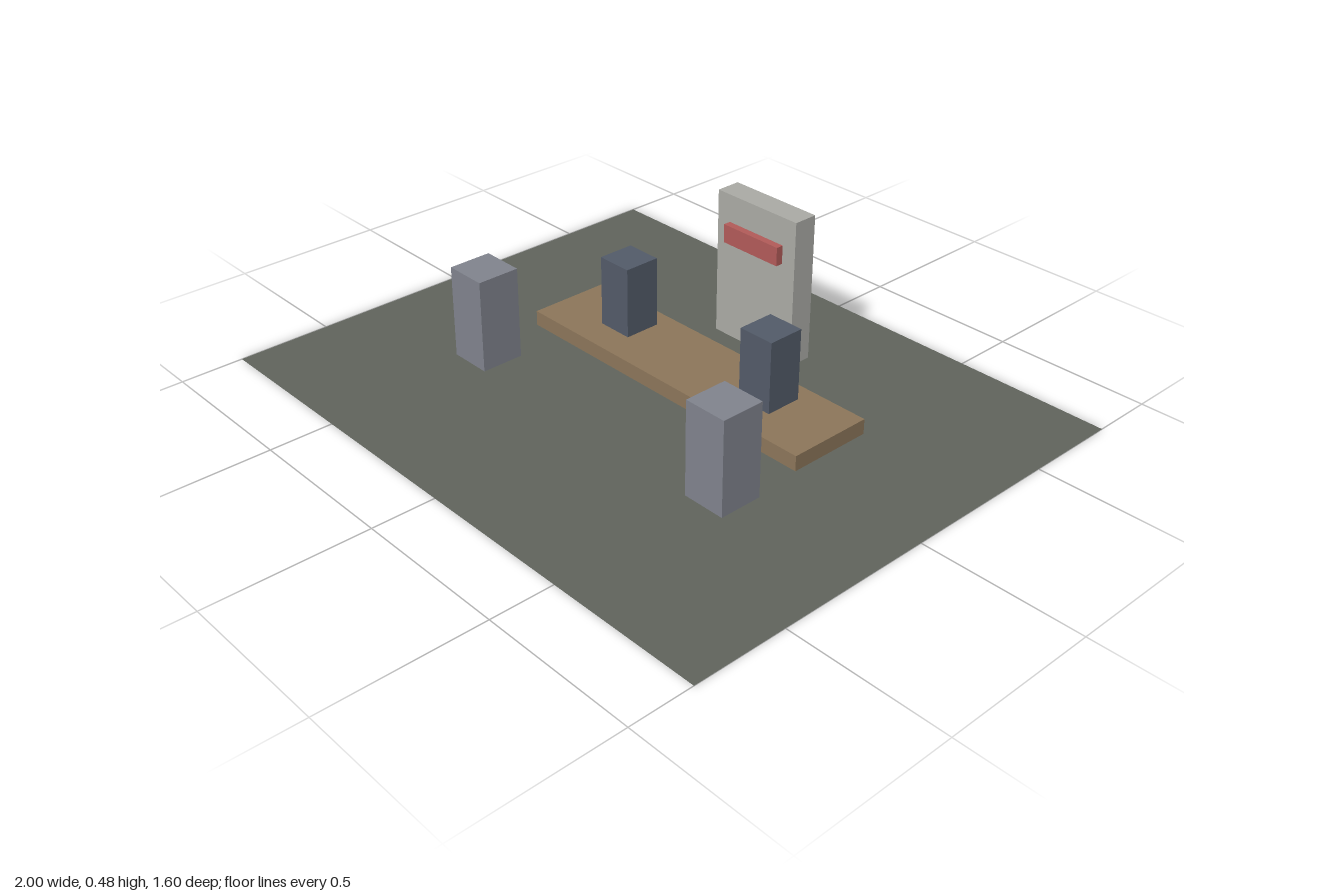
import * as THREE from 'three';

export function createModel() {
  const model = new THREE.Group();
  const mat = (color) => new THREE.MeshStandardMaterial({ color });
  const wood = mat(0x8b7559), stone = mat(0x7f828c), slate = mat(0x525a68);
  const pale = mat(0xa9a9a4), red = mat(0xb05a58);

  // Box given by its extents on each axis
  function box(name, material, [x0, x1], [y0, y1], [z0, z1]) {
    const mesh = new THREE.Mesh(new THREE.BoxGeometry(x1 - x0, y1 - y0, z1 - z0), material);
    mesh.position.set((x0 + x1) / 2, (y0 + y1) / 2, (z0 + z1) / 2);
    mesh.name = name;
    model.add(mesh);
  }

  // Thin ground sheet
  const groundMaterial = mat(0x5f635b);
  groundMaterial.side = THREE.DoubleSide;
  const ground = new THREE.Mesh(new THREE.PlaneGeometry(2, 1.6).rotateX(-Math.PI / 2), groundMaterial);
  ground.name = 'ground';
  model.add(ground);

  // Parts rest a hair above the sheet so their undersides do not flicker
  const floor = 0.001;
  box('platform', wood, [-0.56, 0.56], [floor, 0.05], [-0.28, 0]);
  box('backSlab', pale, [-0.16, 0.16], [floor, 0.48], [-0.48, -0.4]);
  box('signBar', red, [-0.11, 0.11], [0.33, 0.39], [-0.4, -0.376]);

  // Mirrored pairs of posts
  for (const [side, s] of [['left', 1], ['right', -1]]) {
    const span = (centre, width) => [s * centre - width / 2, s * centre + width / 2];
    box(side + 'PlatformPost', slate, span(0.3, 0.12), [0.05, 0.28], [-0.22, -0.1]);
    box(side + 'FrontPost', stone, span(0.51, 0.14), [floor, 0.3], [0.16, 0.3]);
  }
  return model;
}
